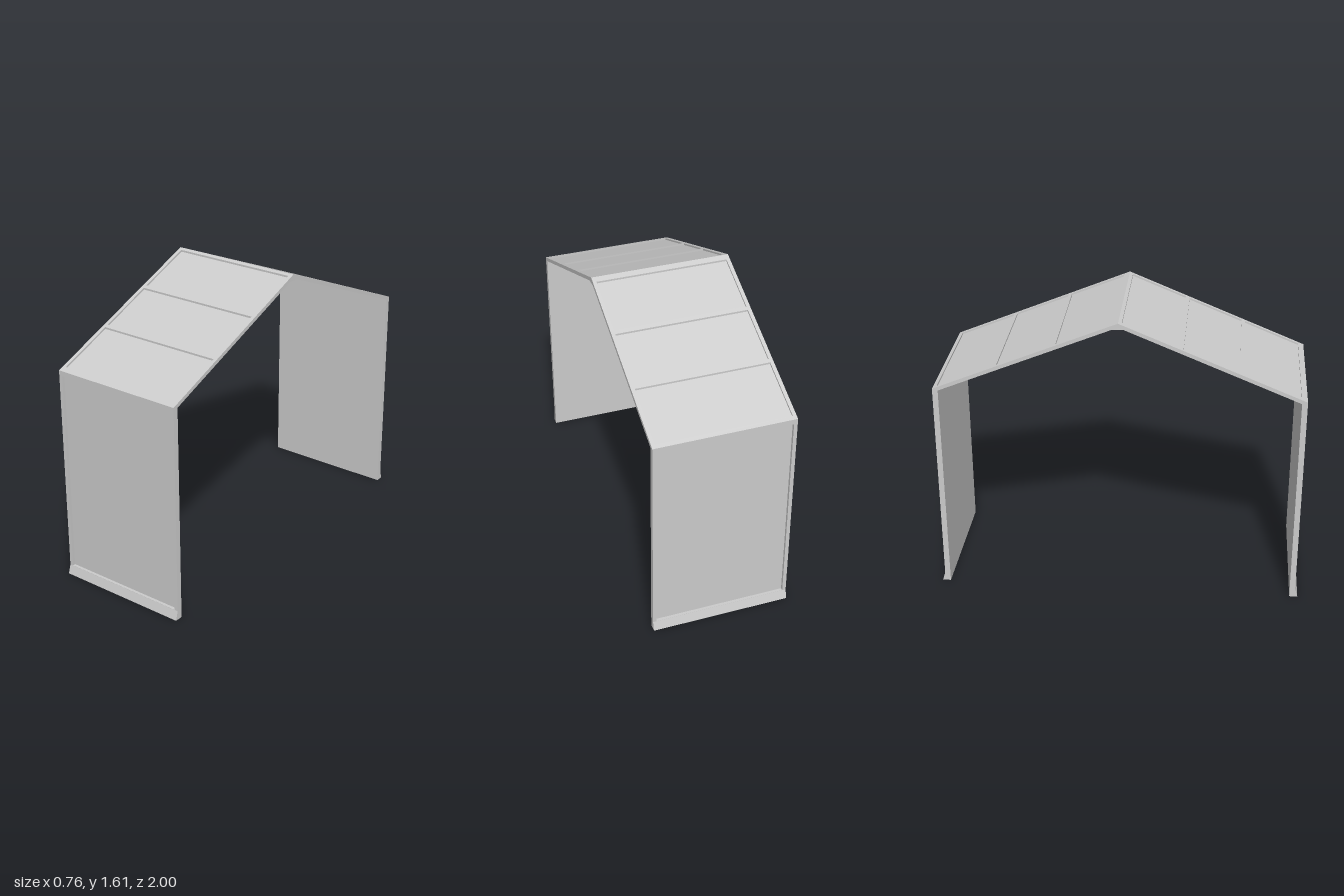
import * as THREE from 'three';

const W = 0.38, INNER = 0.36;          // half width of the frame and of the panels
const OUT = 0.985, IN = 0.955;         // outer and inner wall planes
const EAVE = 1.2, RIDGE = 1.605, T = 0.022;
const roofY = (z) => RIDGE - (Math.abs(z) / OUT) * (RIDGE - EAVE);

const material = new THREE.MeshStandardMaterial({ color: 0xcccccc, flatShading: true });

function mesh(name, geometry) {
  const m = new THREE.Mesh(geometry, material);
  m.name = name;
  return m;
}

function rect(Type, w, y0, y1) {
  return new Type([[-w, y0], [w, y0], [w, y1], [-w, y1]].map(([x, y]) => new THREE.Vector2(x, y)));
}

// Flat rectangle with rectangular openings, extruded along z
function plate(w, y0, y1, depth, openings = []) {
  const shape = rect(THREE.Shape, w, y0, y1);
  for (const [a, b] of openings) shape.holes.push(rect(THREE.Path, INNER, a, b));
  return new THREE.ExtrudeGeometry(shape, { depth, bevelEnabled: false });
}

// Profile of [z, y] points extruded across the width
function bar(points) {
  const shape = new THREE.Shape(points.map(([z, y]) => new THREE.Vector2(-z, y)));
  return new THREE.ExtrudeGeometry(shape, { depth: 2 * W, bevelEnabled: false })
    .translate(0, 0, -W).rotateY(Math.PI / 2);
}

function moveVertices(geometry, rule) {
  const p = geometry.attributes.position, v = new THREE.Vector3();
  for (let i = 0; i < p.count; i++) {
    rule(v.fromBufferAttribute(p, i));
    p.setXYZ(i, v.x, v.y, v.z);
  }
  geometry.computeVertexNormals();
  return geometry;
}

// Lay a plate down and slope it along the roof, its base 'lift' above the underside
const onRoof = (geometry, lift) => moveVertices(geometry.rotateX(-Math.PI / 2), (v) => {
  v.y += roofY(v.z) - T + lift;
});

function wall() {
  const g = new THREE.Group();
  // Frame, its top cut to the roof slope
  const frame = plate(W, 0.05, EAVE, OUT - IN, [[0.051, 1.172]]).translate(0, 0, IN);
  moveVertices(frame, (v) => { if (v.y > 1.19) v.y = roofY(v.z) - T; });
  g.add(mesh('wallFrame', frame));
  g.add(mesh('wallPanel', plate(INNER, 0.05, 1.172, 0.014).translate(0, 0, IN)));
  // Flared sill at the foot
  g.add(mesh('wallSill', bar([[1, 0], [OUT, 0.05], [IN, 0.05], [IN, 0]])));
  return g;
}

function roofSlope(name, side, bays) {
  const g = new THREE.Group();
  g.name = name;
  // Plate y is -z, so the front slope uses negative y
  const span = (a, b) => (side > 0 ? [-b, -a] : [a, b]);
  const openings = bays.map(([a, b]) => span(a, b));
  g.add(mesh('roofFrame', onRoof(plate(W, ...span(0, OUT), T, openings), 0)));
  // Thin panels recessed from both faces
  for (const [a, b] of openings) {
    g.add(mesh('roofPanel', onRoof(plate(INNER, a, b, 0.005), 0.007)));
  }
  return g;
}

export function createModel() {
  const model = new THREE.Group();
  model.name = 'portalShelter';

  const frontWall = wall();
  frontWall.name = 'frontWall';
  const backWall = wall();
  backWall.name = 'backWall';
  backWall.rotation.y = Math.PI;
  model.add(frontWall, backWall);

  model.add(roofSlope('frontRoof', 1, [[0.018, 0.315], [0.336, 0.63], [0.65, 0.954]]));
  model.add(roofSlope('backRoof', -1, [[0.03, 0.325], [0.346, 0.64], [0.66, 0.963]]));

  // Flat fillet under the ridge
  const y = roofY(0.03) - T;
  model.add(mesh('ridgeFillet', bar([[0.03, y], [0, RIDGE - T], [-0.03, y]])));
  return model;
}
